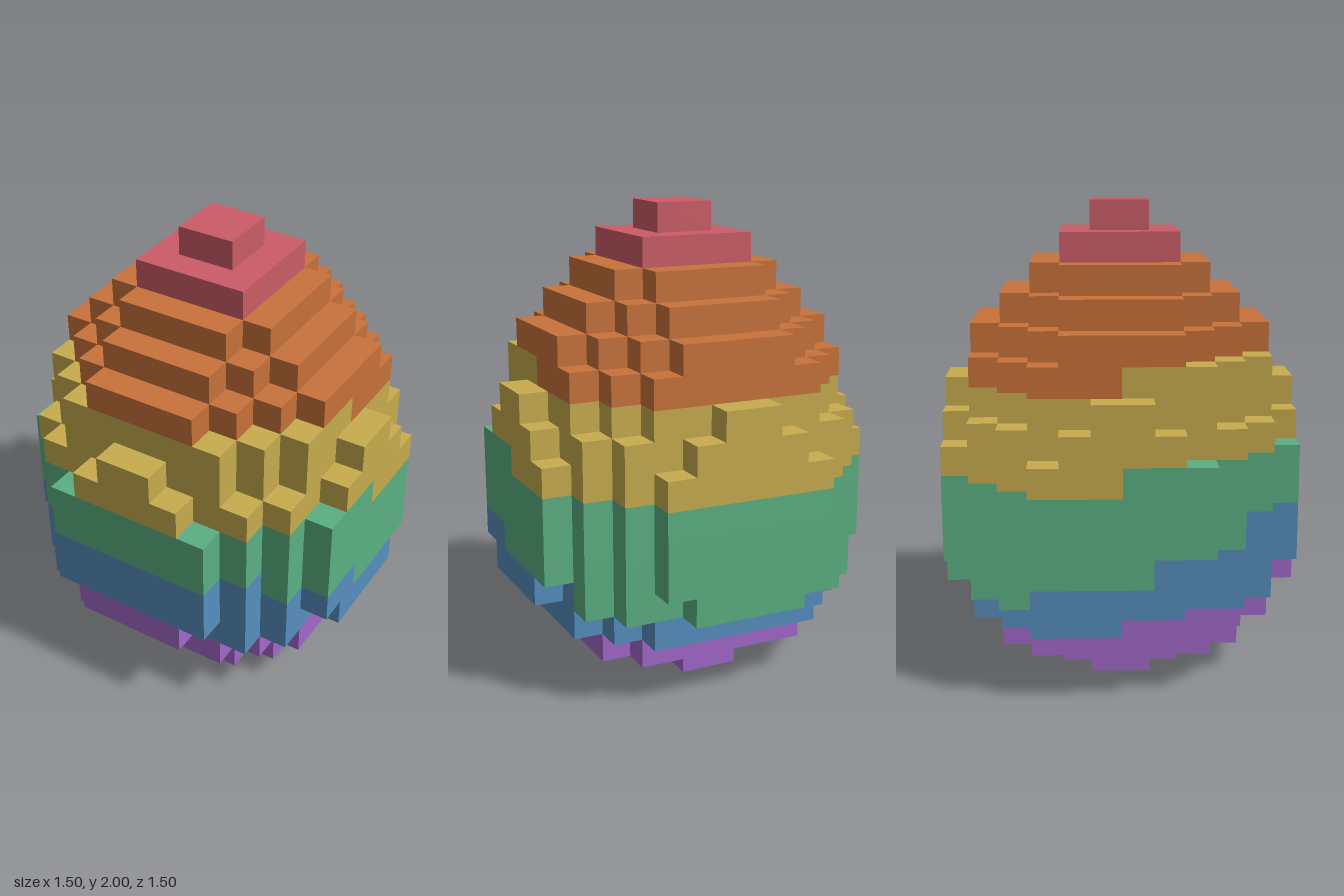
import * as THREE from 'three';
import { mergeGeometries } from 'three/addons/utils/BufferGeometryUtils.js';

const U = 0.125; // edge of one block

// Half widths of each layer's rows, from the middle row outwards, bottom layer first
const LAYERS = [
  [3, 2, 1],
  [4, 4, 4, 3],
  [5, 5, 5, 4, 3],
  [6, 6, 5, 5, 4, 2],
  [6, 6, 6, 5, 4, 3],
  [6, 6, 6, 5, 4, 3],
  [6, 6, 6, 5, 4, 3],
  [6, 6, 6, 5, 4, 3],
  [6, 6, 5, 5, 4, 2],
  [6, 5, 5, 4, 3, 1],
  [5, 5, 5, 4, 3],
  [5, 5, 4, 3, 2],
  [4, 4, 3, 2],
  [3, 3, 2],
  [2, 2],
  [1],
];

// Colours of each layer from back to front: [colour, front limit of z in blocks]
const BANDS = [
  [['purple', 6]],
  [['purple', 6]],
  [['blue', 0], ['purple', 6]],
  [['green', -3], ['blue', 5], ['purple', 6]],
  [['green', 1], ['blue', 6]],
  [['green', 4], ['blue', 6]],
  [['green', 6]],
  [['yellow', 0], ['green', 6]],
  [['yellow', 6]],
  [['yellow', 6]],
  [['orange', 0], ['yellow', 6]],
  [['orange', 6]],
  [['orange', 6]],
  [['orange', 6]],
  [['pink', 6]],
  [['pink', 6]],
];

const COLOURS = {
  purple: 0xa268ca,
  blue: 0x568ebe,
  green: 0x5bb082,
  yellow: 0xc7ac4e,
  orange: 0xc8723a,
  pink: 0xcb5c66,
};

const PARTS = {
  purple: 'purpleBase',
  blue: 'blueBand',
  green: 'greenBand',
  yellow: 'yellowBand',
  orange: 'orangeBand',
  pink: 'pinkTip',
};

// One block-thick slab with a stepped outline, cut to rows z0..z1
function slab(rows, z0, z1, level) {
  const side = [];
  let last = null;
  for (let z = z0; z < z1; z++) {
    const w = rows[z >= 0 ? z : -z - 1];
    if (w !== last) {
      if (last !== null) side.push([last, z]);
      side.push([w, z]);
    }
    last = w;
  }
  side.push([last, z1]);
  const mirrored = side.map(([x, z]) => [-x, z]).reverse();
  const outline = [...side, ...mirrored].map(([x, z]) => new THREE.Vector2(x * U, -z * U));
  const geometry = new THREE.ExtrudeGeometry(new THREE.Shape(outline), { depth: U, bevelEnabled: false });
  geometry.rotateX(-Math.PI / 2);
  geometry.translate(0, level * U, 0);
  return geometry;
}

export function createModel() {
  const group = new THREE.Group();
  group.name = 'stripedBlockEgg';

  // Gather the slabs of each colour
  const slabs = {};
  LAYERS.forEach((rows, level) => {
    let back = -rows.length;
    for (const [colour, limit] of BANDS[level]) {
      const front = Math.min(limit, rows.length);
      if (front > back) (slabs[colour] ??= []).push(slab(rows, back, front, level));
      back = front;
    }
  });

  // One mesh per coloured band
  for (const [colour, geometries] of Object.entries(slabs)) {
    const material = new THREE.MeshStandardMaterial({ color: COLOURS[colour] });
    material.name = colour;
    const mesh = new THREE.Mesh(mergeGeometries(geometries), material);
    mesh.name = PARTS[colour];
    group.add(mesh);
  }
  return group;
}
